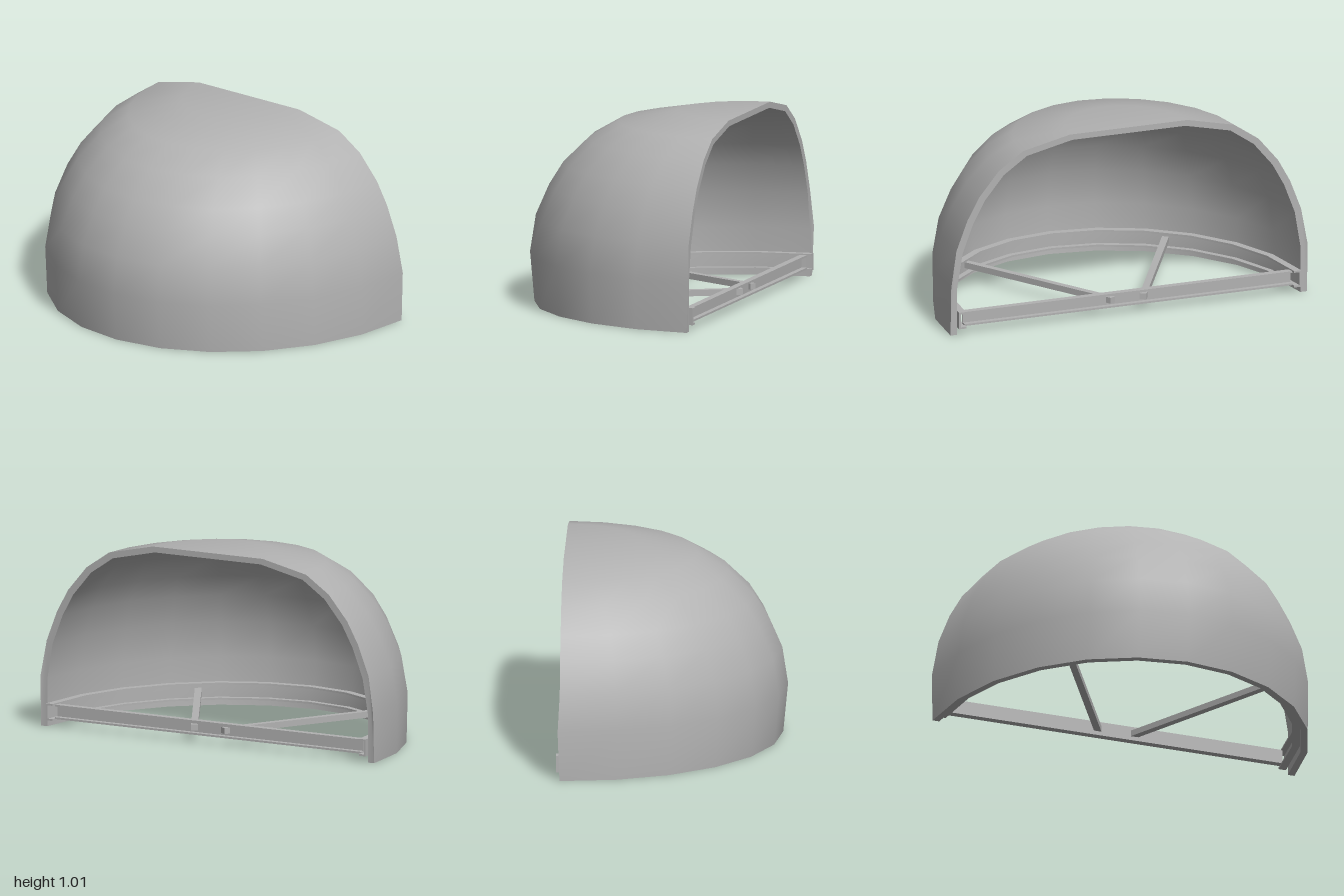
import * as THREE from 'three';
import { toCreasedNormals } from 'three/addons/utils/BufferGeometryUtils.js';

const CENTRE_X = 0.565; // plane of the open side
const SEGMENTS = 12;

// Sweeps a closed profile of [halfWidthZ, depthX, y, tipX] points around a half
// ellipse and caps both ends. Profile runs up the outside, down the inside.
function halfSweep(profile) {
  const positions = [];
  const point = (i, j) => {
    const [b, a, y, tip = 0] = profile[i % profile.length];
    const t = -Math.PI / 2 + (Math.PI * j) / SEGMENTS;
    const end = j === 0 || j === SEGMENTS ? tip : 0;
    return [CENTRE_X - a * Math.cos(t) + end, y, b * Math.sin(t)];
  };
  const tri = (...corners) => corners.forEach(([i, j]) => positions.push(...point(i, j)));
  profile.forEach(([b], i) => {
    const nextB = profile[(i + 1) % profile.length][0];
    for (let j = 0; j < SEGMENTS; j++) {
      if (b > 0) tri([i, j], [i, j + 1], [i + 1, j + 1]);
      if (nextB > 0) tri([i, j], [i + 1, j + 1], [i + 1, j]);
    }
  });
  const outline = profile.map(([b, , y]) => new THREE.Vector2(b, y));
  for (const [p, q, r] of THREE.ShapeUtils.triangulateShape(outline, [])) {
    tri([p, 0], [q, 0], [r, 0]);
    tri([p, SEGMENTS], [r, SEGMENTS], [q, SEGMENTS]);
  }
  const geometry = new THREE.BufferGeometry();
  geometry.setAttribute('position', new THREE.Float32BufferAttribute(positions, 3));
  return toCreasedNormals(geometry, 0.7);
}

export function createModel() {
  const model = new THREE.Group();
  model.name = 'halfDome';
  const grey = new THREE.MeshStandardMaterial({ color: 0xb2b2b2 });
  grey.name = 'grey';
  const add = (name, geometry) => {
    const mesh = new THREE.Mesh(geometry, grey);
    mesh.name = name;
    model.add(mesh);
    return mesh;
  };

  // Thick dome shell with a flat crown
  const outer = [
    [1, 1.13, 0], [1, 1.155, 0.26, 0.01], [0.967, 1.125, 0.455], [0.905, 1.055, 0.615],
    [0.838, 0.98, 0.735], [0.728, 0.847, 0.865], [0.592, 0.688, 0.957],
    [0.33, 0.382, 1.015], [0, 0, 1.015],
  ];
  const inner = outer.map(([b, a, y]) => [b * 0.963, a * 0.966, y * 0.97]).reverse();
  add('domeShell', halfSweep([...outer, ...inner]));

  // Curved channel around the inside of the base, open towards the middle
  const ring = [
    [0.96, 1.09, 0.035], [0.96, 1.09, 0.125], [0.92, 1.05, 0.125], [0.92, 1.05, 0.115],
    [0.95, 1.08, 0.115], [0.95, 1.08, 0.045], [0.92, 1.05, 0.045], [0.92, 1.05, 0.035],
  ].map((p) => [...p, 0.02]);
  add('baseRing', halfSweep(ring));

  // Straight channel across the opening
  const section = new THREE.Shape([
    [0.525, 0.042], [0.563, 0.042], [0.563, 0.052], [0.535, 0.052],
    [0.535, 0.108], [0.563, 0.108], [0.563, 0.118], [0.525, 0.118],
  ].map(([x, y]) => new THREE.Vector2(x, y)));
  const beam = add('crossBeam', new THREE.ExtrudeGeometry(section, { depth: 1.84, bevelEnabled: false }));
  beam.position.z = -0.92;

  // Two struts spreading from the beam to the ring
  for (const side of [1, -1]) {
    const start = new THREE.Vector3(0.555, 0.08, side * 0.085);
    const end = new THREE.Vector3(-0.3, 0.08, side * 0.56);
    const strut = add(side > 0 ? 'frontStrut' : 'backStrut',
      new THREE.BoxGeometry(0.036, 0.032, start.distanceTo(end)));
    strut.position.copy(start).add(end).multiplyScalar(0.5);
    strut.lookAt(end);
  }
  return model;
}
